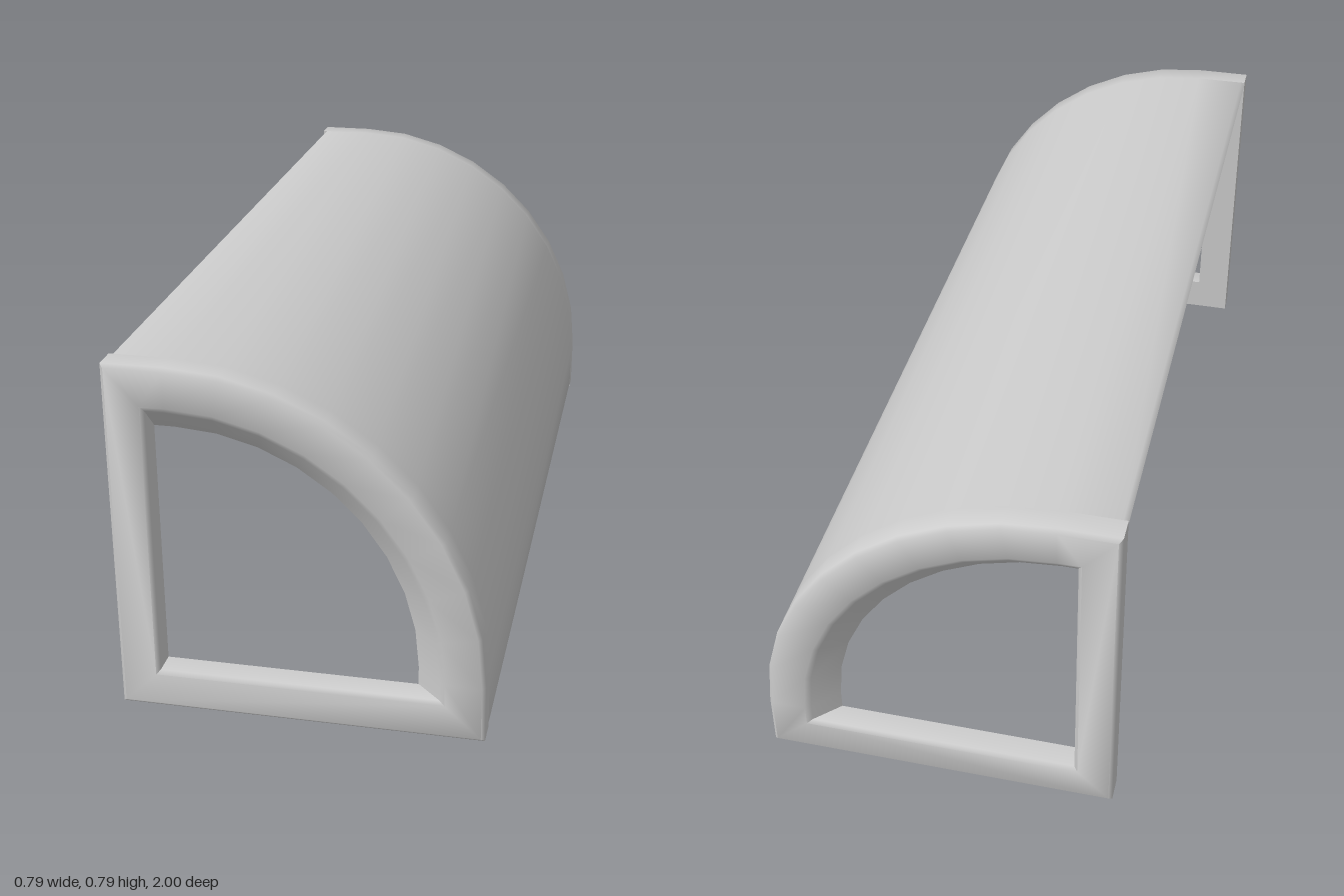
import * as THREE from 'three';
import { toCreasedNormals } from 'three/addons/utils/BufferGeometryUtils.js';

const SIZE = 0.787;       // width and height of the end profile
const BAR = 0.087;        // width of the frame bars
const THICK = 0.06;       // thickness of the shell and of the end frames
const BEVEL = 0.008;
const CENTRE = 0.13;      // arc centre, measured from the square corner
const SEGS = 9;
const material = new THREE.MeshStandardMaterial({ color: 0xcccccc, roughness: 0.8 });
const V = (x, y) => new THREE.Vector2(x, y);

// Quarter arc reaching out to the given distance from the corner
function arc(reach) {
  const r = reach - CENTRE;
  return Array.from({ length: SEGS + 1 }, (_, i) => {
    const a = Math.PI / 2 * i / SEGS;
    return V(CENTRE + Math.cos(a) * r, CENTRE + Math.sin(a) * r);
  });
}

// Rounded-quarter outline with its square corner at (low, low)
function outline(low, reach) {
  return [V(low, low), V(reach, low), ...arc(reach), V(low, reach)];
}

// Curved shell of even thickness, its two long edges softened
function shellGeometry() {
  const b = 0.01, inner = SIZE - THICK;
  const section = new THREE.Shape([
    V(SIZE - b, 0), V(SIZE, b), ...arc(SIZE), V(b, SIZE), V(0, SIZE - b),
    V(0.03, inner), ...arc(inner).reverse(), V(inner, 0.03),
  ]);
  const length = 2 - 2 * THICK;
  const g = new THREE.ExtrudeGeometry(section, { depth: length, bevelEnabled: false });
  g.translate(0, 0, -length / 2);
  return toCreasedNormals(g, 1.2);
}

// End frame lofted round its bar section; the opening narrows inwards under the arch
function frameGeometry(side) {
  const back = 1 - THICK;
  const loops = [
    [0, SIZE, back],
    [0, SIZE, 1 - BEVEL],
    [BEVEL, SIZE - BEVEL, 1],
    [BAR - BEVEL, 0.702, 1],
    [BAR, 0.69, 1 - BEVEL],
    [BAR, 0.637, back],
  ];
  const positions = [], index = [];
  let n = 0;
  for (const [low, reach, z] of loops) {
    const points = outline(low, reach);
    n = points.length;
    for (const p of points) positions.push(p.x, p.y, z * side);
  }
  for (let i = 0; i < loops.length; i++) {
    const k = (i + 1) % loops.length;
    for (let j = 0; j < n; j++) {
      const m = (j + 1) % n;
      const a = i * n + j, b = i * n + m, c = k * n + m, d = k * n + j;
      if (side > 0) index.push(a, b, c, a, c, d);
      else index.push(a, c, b, a, d, c);
    }
  }
  const g = new THREE.BufferGeometry();
  g.setAttribute('position', new THREE.Float32BufferAttribute(positions, 3));
  g.setIndex(index);
  return toCreasedNormals(g, 0.9);
}

export function createModel() {
  const model = new THREE.Group();
  model.name = 'quarterRoundTunnel';
  const parts = [
    ['curvedShell', shellGeometry()],
    ['frontFrame', frameGeometry(1)],
    ['backFrame', frameGeometry(-1)],
  ];
  for (const [name, geometry] of parts) {
    const mesh = new THREE.Mesh(geometry, material);
    mesh.name = name;
    mesh.position.x = -SIZE / 2;
    model.add(mesh);
  }
  return model;
}
